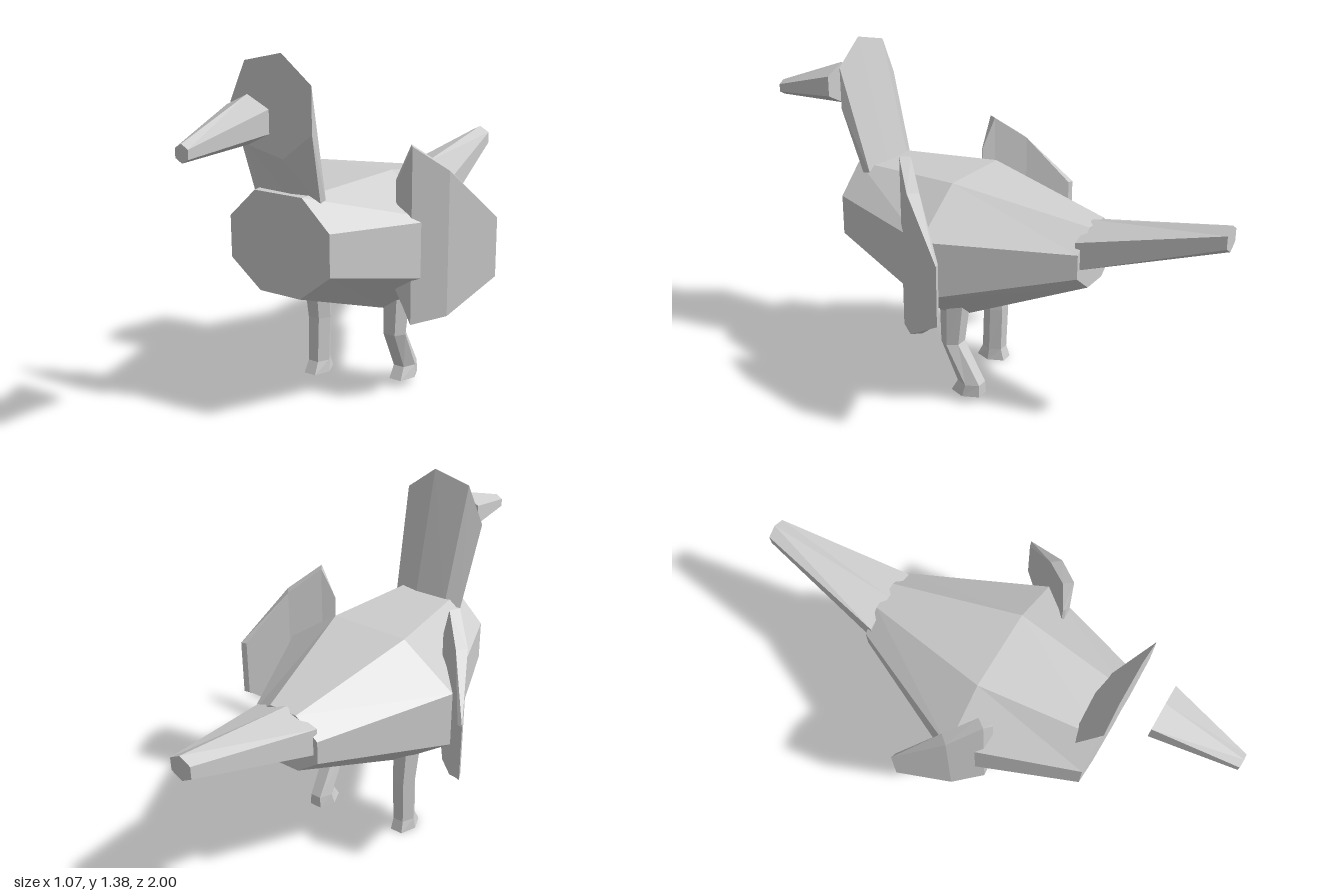
import * as THREE from 'three';

// Skin a series of equal-length rings of [x, y, z] points, with capped ends
function loft(rings) {
  const tris = [];
  const n = rings[0].length;
  for (let r = 0; r < rings.length - 1; r++) {
    const a = rings[r], b = rings[r + 1];
    for (let i = 0; i < n; i++) {
      const j = (i + 1) % n;
      tris.push([a[i], a[j], b[j]], [a[i], b[j], b[i]]);
    }
  }
  const first = rings[0], last = rings[rings.length - 1];
  for (let i = 1; i < n - 1; i++) {
    tris.push([first[0], first[i + 1], first[i]], [last[0], last[i], last[i + 1]]);
  }
  // Signed volume tells whether the faces point outwards
  let volume = 0;
  for (const [a, b, c] of tris) {
    volume += new THREE.Vector3(...a).dot(new THREE.Vector3(...b).cross(new THREE.Vector3(...c)));
  }
  if (volume < 0) tris.forEach((t) => t.reverse());
  const geometry = new THREE.BufferGeometry();
  geometry.setAttribute('position', new THREE.Float32BufferAttribute(tris.flat(2), 3));
  geometry.computeVertexNormals();
  return geometry;
}

// Octagon across z: half width of the top, side and bottom, and four heights
function octagon(z, topX, sideX, bottomX, top, upper, lower, bottom) {
  return [
    [topX, top, z], [sideX, upper, z], [sideX, lower, z], [bottomX, bottom, z],
    [-bottomX, bottom, z], [-sideX, lower, z], [-sideX, upper, z], [-topX, top, z],
  ];
}

// Hexagon across z with a point at the top and bottom
function hexagon(z, w, top, upper, lower, bottom) {
  return [[0, top, z], [w, upper, z], [w, lower, z], [0, bottom, z], [-w, lower, z], [-w, upper, z]];
}

// Level hexagon used for the legs
function legRing(x, y, z, rx, rz) {
  return [[rx, 0], [rx / 2, rz], [-rx / 2, rz], [-rx, 0], [-rx / 2, -rz], [rx / 2, -rz]]
    .map(([dx, dz]) => [x + dx, y, z + dz]);
}

export function createModel() {
  const model = new THREE.Group();
  model.name = 'bird';
  const grey = new THREE.MeshStandardMaterial({ color: 0xcccccc });
  grey.name = 'plain grey';
  grey.flatShading = true;

  const add = (name, rings) => {
    const mesh = new THREE.Mesh(loft(rings), grey);
    mesh.name = name;
    model.add(mesh);
  };

  add('body', [
    octagon(0.53, 0.105, 0.222, 0.09, 0.887, 0.775, 0.615, 0.51),
    octagon(0.04, 0.165, 0.39, 0.155, 0.9, 0.737, 0.505, 0.335),
    octagon(-0.49, 0.06, 0.155, 0.06, 0.792, 0.715, 0.62, 0.55),
  ]);

  add('tail', [
    hexagon(-0.47, 0.14, 0.8, 0.755, 0.645, 0.6),
    hexagon(-1, 0.045, 0.885, 0.86, 0.81, 0.785),
  ]);

  add('beak', [
    hexagon(0.68, 0.09, 1.26, 1.217, 1.135, 1.09),
    hexagon(1, 0.027, 1.148, 1.132, 1.1, 1.085),
  ]);

  // Neck rising to an upright seven-sided face
  const face = [[-0.115, 1.35], [0.045, 1.385], [0.17, 1.285], [0.17, 1.12],
    [0.045, 1.02], [-0.115, 1.055], [-0.185, 1.2]];
  add('neckAndHead', [
    face.map(([x, y]) => [x * 0.86, 0.858, 0.46 - (y - 1.2) * 0.2]),
    face.map(([x, y]) => [x, y, 0.553]),
  ]);

  // Wing columns from front to back: outer x, z, inner x, z, top, bottom
  const columns = [
    [0.272, 0.172, 0.262, 0.165, 0.9, 0.47],
    [0.33, 0.165, 0.305, 0.13, 1.03, 0.345],
    [0.43, 0.065, 0.4, 0.03, 0.935, 0.37],
    [0.533, -0.125, 0.51, -0.118, 0.73, 0.495],
  ];
  for (const [name, s] of [['leftWing', 1], ['rightWing', -1]]) {
    add(name, columns.map(([ox, oz, ix, iz, top, bottom]) => [
      [s * ox, top, oz], [s * ox, bottom, oz], [s * ix, bottom, iz], [s * ix, top, iz],
    ]));
  }

  // One leg stands straight, the other is bent back and lifted
  add('rightLeg', [
    legRing(-0.18, 0.45, 0.06, 0.063, 0.054), legRing(-0.177, 0.24, 0.045, 0.051, 0.045),
    legRing(-0.177, 0.05, 0.052, 0.047, 0.045), legRing(-0.178, 0, 0.057, 0.053, 0.065),
  ]);
  add('leftLeg', [
    legRing(0.183, 0.45, 0.02, 0.063, 0.054), legRing(0.18, 0.24, 0.035, 0.051, 0.04),
    legRing(0.18, 0.08, -0.05, 0.047, 0.05), legRing(0.18, 0.03, -0.037, 0.053, 0.065),
  ]);

  return model;
}
